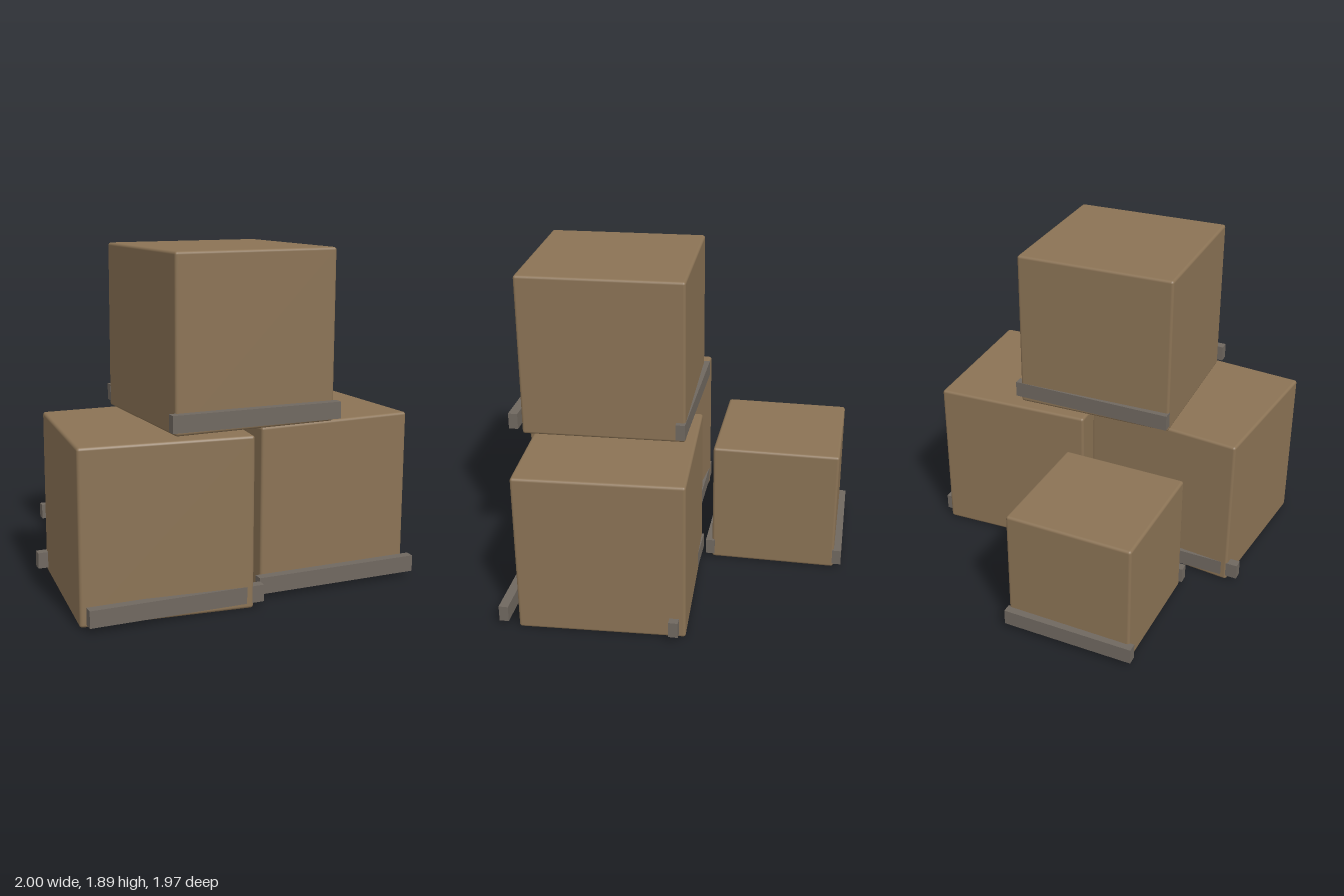
import * as THREE from 'three';
import { RoundedBoxGeometry } from 'three/addons/geometries/RoundedBoxGeometry.js';

// position is the crate's underside centre; runnerZ holds the z of the back and front runners
const CRATES = [
  { name: 'leftCrate', size: 0.942, pos: [-0.488, 0.005, 0.47], turn: -0.095, runnerX: -0.488, runnerZ: [-0.013, 0.953] },
  { name: 'rightCrate', size: 0.942, pos: [0.502, 0.005, 0.325], turn: 0.053, runnerX: 0.508, runnerZ: [-0.107, 0.859] },
  { name: 'topCrate', size: 0.942, pos: [-0.017, 0.955, 0.402], turn: 0.036, runnerX: -0.017, runnerZ: [-0.06, 0.906] },
  { name: 'smallCrate', size: 0.75, pos: [-0.293, 0.005, -0.572], turn: -0.007, runnerX: -0.299, runnerZ: [-0.962, -0.184] },
];

export function createModel() {
  const model = new THREE.Group();
  model.name = 'crateStack';

  const cardboard = new THREE.MeshStandardMaterial({ color: 0x8b7355 });
  cardboard.name = 'cardboard brown';
  const greyWood = new THREE.MeshStandardMaterial({ color: 0x706860 });
  greyWood.name = 'grey wood';

  for (const { name, size, pos, turn, runnerX, runnerZ } of CRATES) {
    const group = new THREE.Group();
    group.name = name;

    // Softly rounded box, turned a little out of line
    const box = new THREE.Mesh(new RoundedBoxGeometry(size, size, size, 2, 0.016), cardboard);
    box.name = 'box';
    box.position.set(pos[0], pos[1] + size / 2, pos[2]);
    box.rotation.y = turn;
    group.add(box);

    // Straight runners along the lower back and front edges
    const runner = new THREE.BoxGeometry(size + 0.033, 0.093, 0.054);
    runnerZ.forEach((z, i) => {
      const mesh = new THREE.Mesh(runner, greyWood);
      mesh.name = i ? 'frontRunner' : 'backRunner';
      mesh.position.set(runnerX, pos[1] + 0.075, z);
      group.add(mesh);
    });
    model.add(group);
  }
  return model;
}
